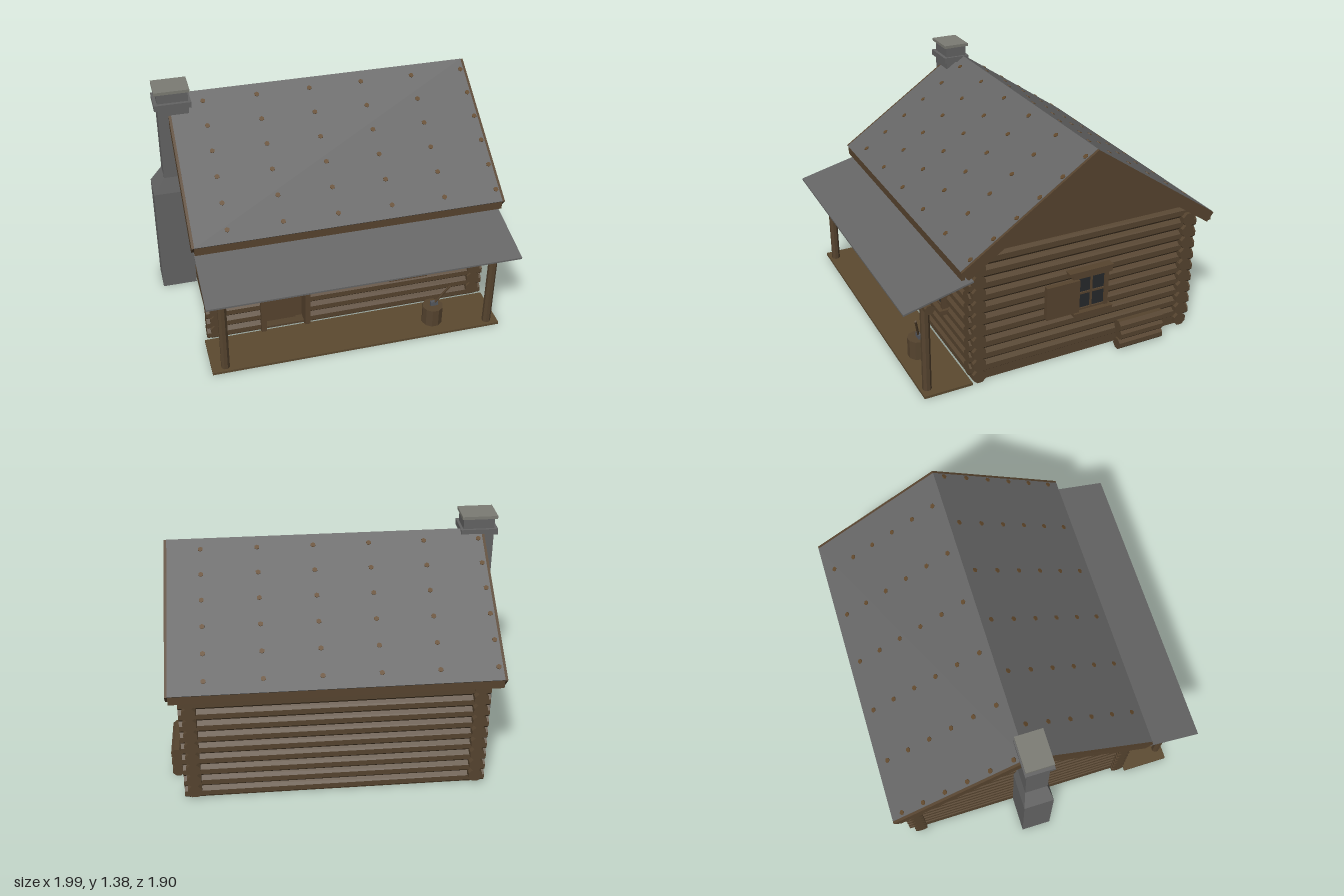
import * as THREE from 'three';

const mat = (name, color) => {
  const m = new THREE.MeshStandardMaterial({ color });
  m.name = name;
  return m;
};

export function createModel() {
  const M = {
    log: mat('log brown', 0x56442f),
    plank: mat('plank brown', 0x57442f),
    deck: mat('deck brown', 0x5c4a30),
    roof: mat('roof grey', 0x666666),
    stone: mat('chimney grey', 0x646464),
    cap: mat('cap stone', 0x7c7c74),
    glass: mat('window glass', 0x26292c),
    iron: mat('iron', 0x55585e),
    knot: mat('roof peg brown', 0x62492c),
  };
  const model = new THREE.Group();
  const group = (name) => {
    const g = new THREE.Group();
    g.name = name;
    model.add(g);
    return g;
  };
  const add = (parent, name, geo, m) => {
    const mesh = new THREE.Mesh(geo, m);
    mesh.name = name;
    parent.add(mesh);
    return mesh;
  };
  const flat = (geo) => {
    const g = geo.toNonIndexed();
    g.computeVertexNormals();
    return g;
  };
  // box given by its limits on each axis
  const box = (p, name, x0, x1, y0, y1, z0, z1, m) => {
    const g = new THREE.BoxGeometry(x1 - x0, y1 - y0, z1 - z0);
    g.translate((x0 + x1) / 2, (y0 + y1) / 2, (z0 + z1) / 2);
    return add(p, name, g, m);
  };
  // faceted round timber between two points
  const rod = (p, name, a, b, r, m, sides = 8) => {
    const A = new THREE.Vector3(...a), B = new THREE.Vector3(...b);
    const g = new THREE.CylinderGeometry(r, r, A.distanceTo(B), sides);
    g.rotateY(Math.PI / sides);
    const mesh = add(p, name, flat(g), m);
    mesh.position.copy(A).add(B).multiplyScalar(0.5);
    mesh.quaternion.setFromUnitVectors(new THREE.Vector3(0, 1, 0), B.sub(A).normalize());
    return mesh;
  };
  // side-on outline of [z, y] points, extruded along x
  const slab = (p, name, pts, x0, x1, m) => {
    const s = new THREE.Shape(pts.map(([z, y]) => new THREE.Vector2(-z, y)));
    const g = new THREE.ExtrudeGeometry(s, { depth: x1 - x0, bevelEnabled: false });
    g.rotateY(Math.PI / 2);
    g.translate(x0, 0, 0);
    return add(p, name, g, m);
  };

  // log walls, crossing at the corners
  const walls = group('logWalls');
  const R = 0.0415, step = 0.075;
  for (let i = 0; i < 10; i++) {
    const yf = 0.038 + step * i, ys = yf + step / 2;
    rod(walls, 'backLog', [-0.81, yf, -0.82], [0.91, yf, -0.82], R, M.log);
    if (yf < 0.54) {
      rod(walls, 'frontLogLeft', [-0.2, yf, 0.51], [0.91, yf, 0.51], R, M.log);
      rod(walls, 'frontLogRight', [-0.81, yf, 0.51], [-0.47, yf, 0.51], R, M.log);
    } else rod(walls, 'frontLog', [-0.81, yf, 0.51], [0.91, yf, 0.51], R, M.log);
    for (const x of [-0.75, 0.85]) rod(walls, 'sideLog', [x, ys, 0.56], [x, ys, -0.89], R, M.log);
  }
  for (const x of [-0.75, 0.85]) box(walls, 'sill', x - 0.035, x + 0.035, 0, 0.06, -0.84, 0.53, M.log);
  for (const z of [0.5, -0.81]) box(walls, 'wallPlate', -0.75, 0.85, 0.74, 0.8, z - 0.03, z + 0.03, M.log);
  box(walls, 'floor', -0.77, 0.87, 0.001, 0.015, -0.84, 0.53, M.log);
  box(walls, 'hearthPlate', 0.64, 0.73, 0, 0.01, 0.22, 0.32, M.iron);

  // main roof, gables, barge boards and fascias
  const roof = group('roof');
  const ridge = -0.155, k = 0.68;
  const chevron = (top, bottom, half) => {
    const inner = half - 0.04 * Math.min(1, (top - bottom) / 0.075);
    return [[ridge, top], [ridge + half, top - k * half], [ridge + inner, bottom - k * inner],
      [ridge, bottom], [ridge - inner, bottom - k * inner], [ridge - half, top - k * half]];
  };
  slab(roof, 'roofSheets', chevron(1.297, 1.277, 0.79), -0.855, 0.95, M.roof);
  for (const x of [-0.87, 0.95]) slab(roof, 'bargeBoard', chevron(1.295, 1.215, 0.79), x, x + 0.015, M.plank);
  for (const x of [-0.77, 0.85])
    slab(roof, 'gable', [[0.55, 0.74], [0.55, 0.79], [ridge, 1.275], [-0.86, 0.79], [-0.86, 0.74]], x, x + 0.02, M.plank);
  for (const s of [1, -1]) {
    const z = ridge + s * 0.775;
    box(roof, 'fascia', -0.855, 0.95, 0.705, 0.76, z - 0.01, z + 0.01, M.plank);
  }
  // pegs over both slopes
  for (const s of [1, -1])
    for (let c = 0; c < 6; c++)
      for (let r = 0; r < 6; r++) {
        const d = 0.06 + r * 0.133;
        const peg = add(roof, 'roofPeg', flat(new THREE.CylinderGeometry(0.015, 0.015, 0.006, 6)), M.knot);
        peg.position.set((s > 0 ? -0.66 : -0.83) + c * 0.318, 1.298 - k * d, ridge + s * d);
        peg.rotation.x = s * Math.atan(k);
      }

  // porch
  const porch = group('porch');
  slab(porch, 'porchRoof', [[0.955, 0.578], [0.955, 0.588], [0.56, 0.686], [0.56, 0.676]], -0.855, 0.95, M.roof);
  box(porch, 'porchDeck', -0.83, 0.915, 0, 0.015, 0.555, 0.84, M.deck);
  rod(porch, 'porchBeam', [-0.83, 0.56, 0.8], [0.925, 0.56, 0.8], 0.028, M.log);
  for (const x of [-0.75, 0.85]) rod(porch, 'porchPost', [x, 0.01, 0.8], [x, 0.55, 0.8], 0.026, M.log);

  // recessed door with its frame
  const door = group('door');
  box(door, 'doorPanel', -0.46, -0.21, 0.015, 0.54, 0.455, 0.475, M.plank);
  box(door, 'doorLowerPanel', -0.455, -0.26, 0.015, 0.2, 0.475, 0.484, M.plank);
  for (const x of [-0.488, -0.22]) box(door, 'doorJamb', x, x + 0.032, 0, 0.545, 0.46, 0.57, M.plank);
  box(door, 'doorHead', -0.5, -0.18, 0.53, 0.56, 0.46, 0.57, M.plank);

  // window drawn facing +z about its own centre
  const makeWindow = (name, w, h) => {
    const g = group(name);
    const a = w / 2, b = h / 2, t = 0.022;
    box(g, 'glass', -a, a, -b, b, -0.03, 0.006, M.glass);
    for (const s of [-1, 1]) {
      box(g, 'stile', s * (a + t / 2) - t / 2, s * (a + t / 2) + t / 2, -b, b, -0.03, 0.02, M.plank);
      box(g, 'rail', -a, a, s * (b - 0.005) - 0.006, s * (b - 0.005) + 0.006, -0.03, 0.014, M.plank);
    }
    box(g, 'mullion', -0.006, 0.006, -b, b, 0, 0.013, M.plank);
    box(g, 'crossbar', -a, a, -0.006, 0.006, 0, 0.013, M.plank);
    box(g, 'lintel', -a - 0.04, a + 0.04, b, b + 0.025, -0.03, 0.028, M.plank);
    box(g, 'sill', -a - 0.04, a + 0.04, -b - 0.018, -b, -0.03, 0.045, M.plank);
    box(g, 'apron', -a - 0.01, a + 0.01, -b - 0.05, -b - 0.018, -0.03, 0.016, M.plank);
    return g;
  };
  makeWindow('frontWindow', 0.22, 0.225).position.set(0.42, 0.4, 0.555);
  const side = makeWindow('sideWindow', 0.17, 0.215);
  side.position.set(0.895, 0.405, -0.185);
  side.rotation.y = Math.PI / 2;
  box(side, 'shutter', -0.295, -0.087, -0.105, 0.1, 0.005, 0.035, M.plank);
  box(side, 'upperLintel', -0.15, 0.13, 0.132, 0.15, -0.03, 0.03, M.plank);

  // chimney with tapered shoulder
  const chimney = group('chimney');
  box(chimney, 'base', -1, -0.79, 0, 0.7, -0.2, -0.02, M.stone);
  const sh = new THREE.BoxGeometry(0.21, 0.1, 0.18);
  sh.translate(-0.895, 0.75, -0.11);
  const p = sh.attributes.position;
  for (let i = 0; i < p.count; i++)
    if (p.getY(i) > 0.75) {
      p.setX(i, p.getX(i) < -0.9 ? -0.93 : -0.75);
      p.setZ(i, p.getZ(i) < -0.11 ? -0.175 : -0.04);
    }
  add(chimney, 'shoulder', flat(sh), M.stone);
  box(chimney, 'shaft', -0.93, -0.75, 0.8, 1.37, -0.175, -0.04, M.stone);
  box(chimney, 'collar', -0.95, -0.735, 1.265, 1.3, -0.19, -0.02, M.stone);
  box(chimney, 'capStone', -0.945, -0.74, 1.362, 1.38, -0.187, -0.025, M.cap);

  // chopping block with axe
  const yard = group('choppingBlock');
  rod(yard, 'block', [0.53, 0.015, 0.72], [0.53, 0.132, 0.72], 0.062, M.log, 10);
  rod(yard, 'axeHandle', [0.53, 0.13, 0.715], [0.612, 0.295, 0.762], 0.007, M.plank, 6);
  box(yard, 'axeHead', 0.515, 0.56, 0.125, 0.16, 0.71, 0.728, M.iron);

  // hanging lantern beside the door
  const lantern = group('lantern');
  rod(lantern, 'lanternBody', [-0.165, 0.49, 0.59], [-0.165, 0.545, 0.59], 0.016, M.iron, 6);
  rod(lantern, 'lanternTop', [-0.165, 0.545, 0.59], [-0.165, 0.565, 0.59], 0.008, M.iron, 6);
  box(lantern, 'bracket', -0.169, -0.161, 0.562, 0.57, 0.54, 0.596, M.iron);

  // firewood stacked against the side wall
  const pile = group('firewood');
  for (let i = 0; i < 3; i++)
    rod(pile, 'firewoodLog', [0.955, 0.033 + i * 0.06, -0.345 - 0.01 * (i % 2)], [0.955, 0.033 + i * 0.06, -0.64], 0.036, M.log);

  return model;
}
